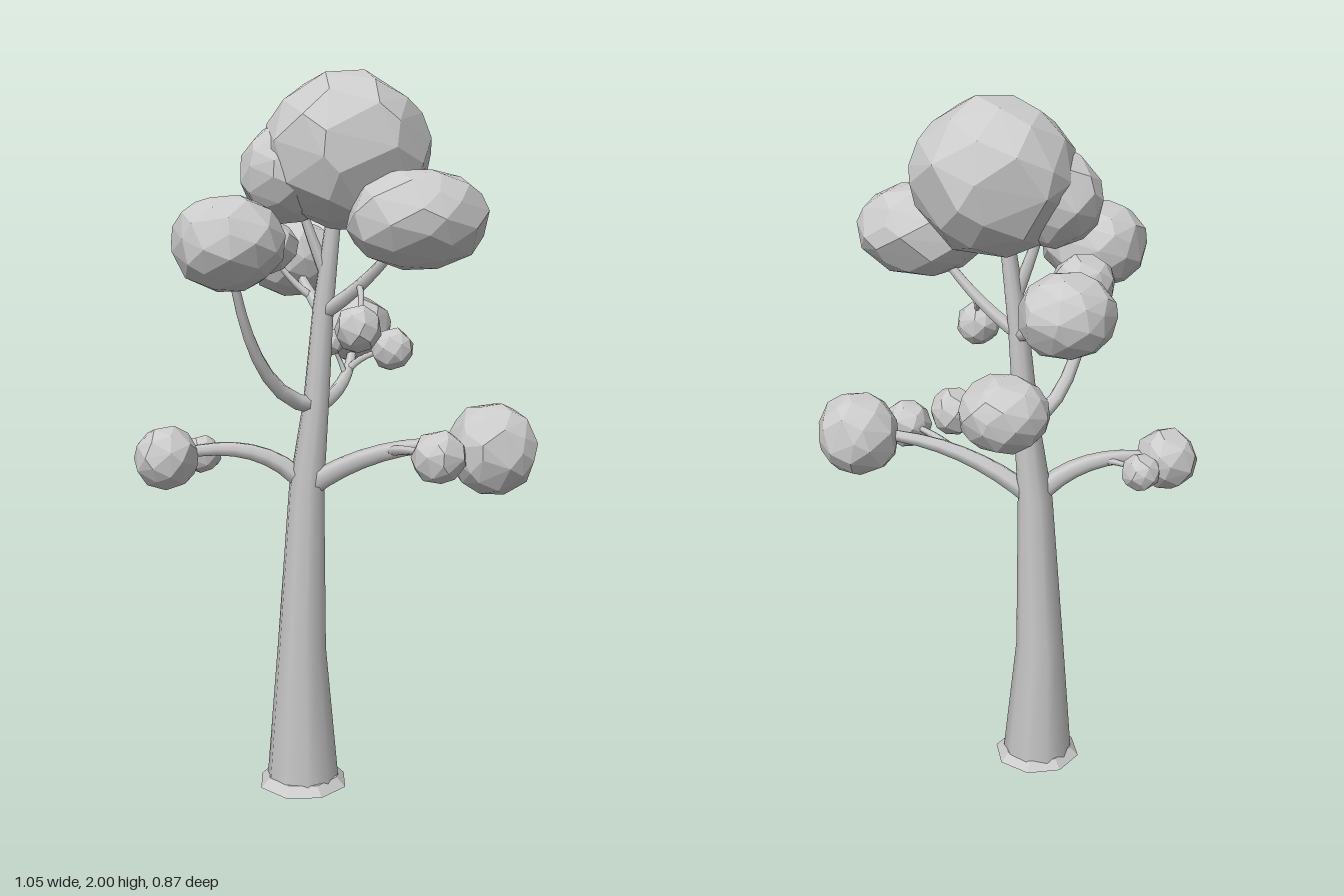
import * as THREE from 'three';
import { ConvexGeometry } from 'three/addons/geometries/ConvexGeometry.js';

const bark = new THREE.MeshStandardMaterial({ color: 0xcccccc });
const faceted = new THREE.MeshStandardMaterial({ color: 0xcccccc, flatShading: true });
const at = (x, y, z) => new THREE.Vector3(x, y, z);
const size = (x, y = x, z = x) => new THREE.Vector3(x, y, z);

// Small seeded random generator
function seeded(seed) {
  let s = seed * 7919 + 17;
  return () => (s = (s * 16807) % 2147483647) / 2147483647;
}

// Leaf clump: convex hull of jittered points spread over an ellipsoid
function leafClump(name, center, radii, seed) {
  const rand = seeded(seed);
  const count = radii.x > 0.1 ? 52 : 34;
  const points = [];
  for (let i = 0; i < count; i++) {
    const y = 1 - (2 * (i + 0.5)) / count;
    const a = i * 2.39996 + rand() * 0.45;
    const r = Math.sqrt(1 - y * y);
    points.push(at(r * Math.cos(a), y, r * Math.sin(a)).multiply(radii).multiplyScalar(0.98 + rand() * 0.06));
  }
  const mesh = new THREE.Mesh(new ConvexGeometry(points), faceted);
  mesh.position.copy(center);
  mesh.name = name;
  return mesh;
}

// Tapered limb: a tube whose rings shrink towards the tip
function limb(name, curve, radius) {
  const segs = 9, sides = 6;
  const geo = new THREE.TubeGeometry(curve, segs, 1, sides);
  const pos = geo.attributes.position, v = new THREE.Vector3();
  for (let n = 0; n < pos.count; n++) {
    const t = Math.floor(n / (sides + 1)) / segs;
    const c = curve.getPointAt(t);
    v.fromBufferAttribute(pos, n).sub(c).multiplyScalar(radius * (1 - 0.55 * t)).add(c);
    pos.setXYZ(n, v.x, v.y, v.z);
  }
  const mesh = new THREE.Mesh(geo, bark);
  mesh.name = name;
  return mesh;
}

// Trunk: a cylinder with each level moved and scaled
function trunk() {
  // Levels from the ground up: x, y, z, radius
  const levels = [
    [-0.068, 0, 0.052, 0.105],
    [-0.067, 0.4, 0.027, 0.07],
    [-0.053, 0.87, 0.034, 0.05],
    [-0.025, 1.12, 0.032, 0.036],
    [-0.008, 1.38, 0.048, 0.029],
    [0.012, 1.58, 0.07, 0.022],
    [0.04, 1.76, 0.08, 0.016],
  ];
  const n = levels.length - 1;
  const geo = new THREE.CylinderGeometry(1, 1, n, 10, n);
  const pos = geo.attributes.position;
  for (let i = 0; i < pos.count; i++) {
    const [x, y, z, r] = levels[Math.round(pos.getY(i) + n / 2)];
    pos.setXYZ(i, x + pos.getX(i) * r, y, z + pos.getZ(i) * r);
  }
  const mesh = new THREE.Mesh(geo, bark);
  mesh.name = 'trunk';
  return mesh;
}

export function createModel() {
  const tree = new THREE.Group();
  tree.name = 'tree';
  tree.add(trunk());

  // Flared foot
  const foot = new THREE.Mesh(new THREE.CylinderGeometry(0.104, 0.13, 0.026, 8), faceted);
  foot.geometry.rotateY(Math.PI / 12);
  foot.position.set(-0.068, 0.013, 0.053);
  foot.name = 'trunkFoot';
  tree.add(foot);

  // Grows a curved limb that ends inside its own leaf clump
  const grow = (name, start, bend, end, radius, clumpSize) => {
    const curve = new THREE.QuadraticBezierCurve3(start, bend, end);
    const part = new THREE.Group();
    part.name = name;
    part.add(limb(name + 'Limb', curve, radius), leafClump(name + 'Leaves', end, clumpSize, tree.children.length));
    tree.add(part);
    return curve;
  };

  // Crown: the main clump on the trunk tip and a side clump
  tree.add(leafClump('crownLeaves', at(0.053, 1.79, 0.075), size(0.222, 0.21, 0.235), 1));
  grow('crownSide', at(0, 1.46, 0.06), at(-0.05, 1.58, 0.05), at(-0.095, 1.735, 0.04), 0.02, size(0.14, 0.135, 0.155));

  // Low fork
  const low = at(-0.05, 0.87, 0.035);
  const lowRight = grow('lowRight', low, at(-0.18, 1.03, 0), at(-0.44, 0.96, 0), 0.032, size(0.09));
  grow('lowRightTwig', lowRight.getPoint(0.55), at(-0.29, 0.98, -0.02), at(-0.338, 0.955, -0.063), 0.012, size(0.055));
  const lowLeft = grow('lowLeft', low, at(0.15, 1.045, 0.16), at(0.403, 1.022, 0.304), 0.032, size(0.119, 0.124, 0.13));
  grow('lowLeftTwig', lowLeft.getPoint(0.48), at(0.19, 1.02, 0.25), at(0.245, 1.015, 0.36), 0.015, size(0.072));

  // Middle fork
  const middle = at(-0.02, 1.1, 0.03);
  grow('middleRight', middle, at(-0.22, 1.12, 0.11), at(-0.28, 1.56, 0.208), 0.024, size(0.15, 0.125, 0.15));
  const middleBack = grow('middleBack', middle, at(0.13, 1.12, -0.2), at(0.14, 1.275, -0.32), 0.024, size(0.118, 0.1, 0.116));
  grow('middleBackTwig', middleBack.getPoint(0.55), at(0.14, 1.21, -0.2), at(0.226, 1.23, -0.145), 0.012, size(0.063));
  grow('middleBackSprig', middleBack.getPoint(0.48), at(0.08, 1.2, -0.19), at(0.047, 1.25, -0.17), 0.009, size(0.04));

  // Upper fork
  const upper = at(-0.01, 1.36, 0.047);
  const upperFront = grow('upperFront', upper, at(0.1, 1.44, 0.15), at(0.2, 1.62, 0.268), 0.022, size(0.185, 0.132, 0.165));
  grow('upperFrontTwig', upperFront.getPoint(0.4), at(0.07, 1.42, 0.22), at(0.05, 1.34, 0.255), 0.01, size(0.063));
  const upperBack = grow('upperBack', upper, at(-0.03, 1.4, -0.08), at(-0.052, 1.49, -0.237), 0.022, size(0.13, 0.112, 0.125));
  grow('upperBackTwig', upperBack.getPoint(0.35), at(-0.08, 1.43, -0.07), at(-0.145, 1.53, -0.09), 0.013, size(0.088, 0.078, 0.082));

  return tree;
}
